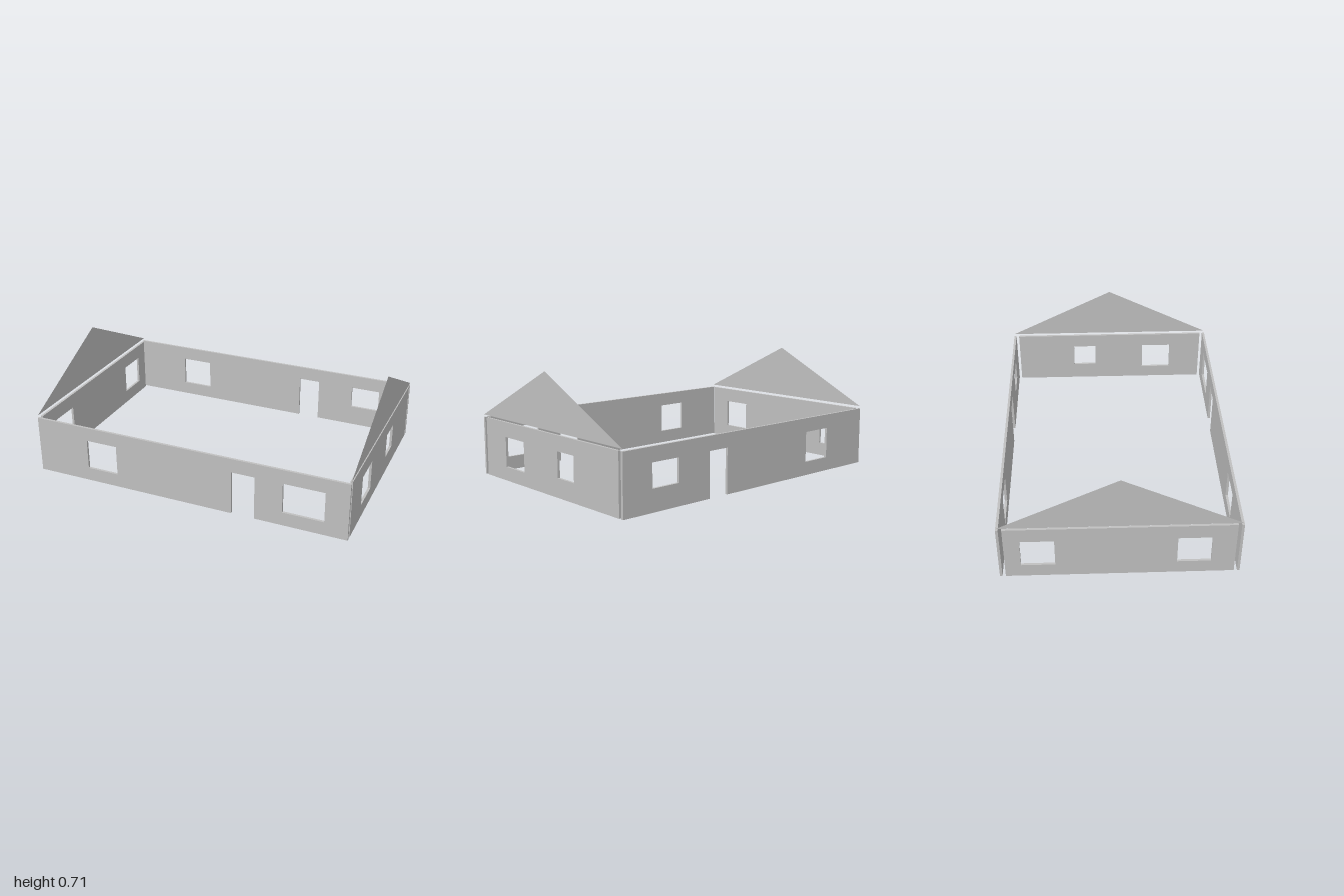
import * as THREE from 'three';

const WALL_H = 0.362;
const T = 0.015;

// Wall panel from u0 to u1, with rectangular windows [u0, u1, y0, y1] and an optional door [u0, u1, top]
function wallGeometry(half, windows, door) {
  const shape = new THREE.Shape();
  shape.moveTo(-half, 0);
  if (door) {
    const [a, b, top] = door;
    shape.lineTo(a, 0);
    shape.lineTo(a, top);
    shape.lineTo(b, top);
    shape.lineTo(b, 0);
  }
  shape.lineTo(half, 0);
  shape.lineTo(half, WALL_H);
  shape.lineTo(-half, WALL_H);
  shape.closePath();
  for (const [a, b, y0, y1] of windows) {
    const hole = new THREE.Path();
    hole.moveTo(a, y0);
    hole.lineTo(a, y1);
    hole.lineTo(b, y1);
    hole.lineTo(b, y0);
    hole.closePath();
    shape.holes.push(hole);
  }
  const geo = new THREE.ExtrudeGeometry(shape, { depth: T, bevelEnabled: false });
  return geo.translate(0, 0, -T / 2);
}

export function createModel() {
  const group = new THREE.Group();
  group.name = 'houseShell';
  const wallGrey = new THREE.MeshStandardMaterial({ color: 0xc0c0c0 });
  wallGrey.name = 'wallGrey';
  const gableGrey = new THREE.MeshStandardMaterial({ color: 0xc0c0c0, side: THREE.DoubleSide });
  gableGrey.name = 'gableGrey';

  const add = (name, geo, mat) => {
    const mesh = new THREE.Mesh(geo, mat);
    mesh.name = name;
    group.add(mesh);
    return mesh;
  };

  // Long walls, each with two windows and a doorway
  add('frontWall', wallGeometry(1,
    [[-0.657, -0.455, 0.085, 0.275], [0.61, 0.86, 0.085, 0.275]],
    [0.295, 0.44, 0.275]), wallGrey).position.z = 0.6835;
  add('backWall', wallGeometry(1,
    [[-0.657, -0.455, 0.085, 0.275], [0.61, 0.80, 0.132, 0.275]],
    [0.235, 0.375, 0.275]), wallGrey).position.z = -0.6835;

  // Short walls, windows given along z
  const sides = [
    ['leftWall', 1, [[0.24, 0.44, 0.085, 0.27], [-0.26, -0.105, 0.115, 0.27]]],
    ['rightWall', -1, [[0.325, 0.52, 0.085, 0.27], [-0.565, -0.37, 0.085, 0.27]]],
  ];
  for (const [name, side, windows] of sides) {
    const flipped = windows.map(([a, b, y0, y1]) => [-b, -a, y0, y1]);
    const geo = wallGeometry(0.657, flipped).rotateY(Math.PI / 2);
    add(name, geo, wallGrey).position.x = side * (1 - T / 2);
  }

  // Thin triangular gables standing just above the short walls
  const triangle = new THREE.Shape([
    new THREE.Vector2(-0.688, 0.377),
    new THREE.Vector2(0.688, 0.377),
    new THREE.Vector2(0, 0.712),
  ]);
  for (const [name, side] of [['leftGable', 1], ['rightGable', -1]]) {
    const geo = new THREE.ShapeGeometry(triangle).rotateY(side * Math.PI / 2);
    add(name, geo, gableGrey).position.x = side;
  }

  return group;
}
